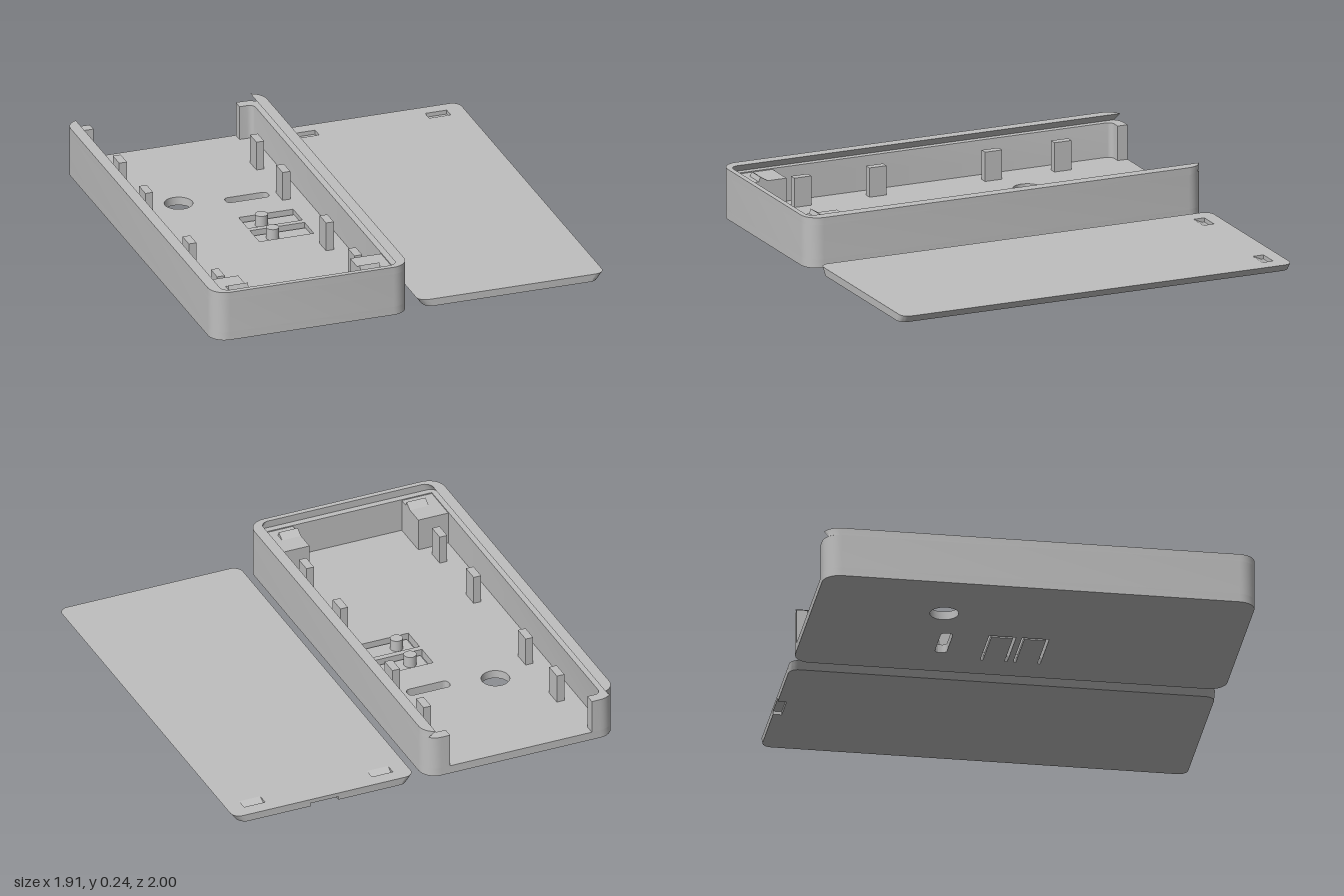
import * as THREE from 'three';
import { toCreasedNormals } from 'three/addons/utils/BufferGeometryUtils.js';

const V = (x, z) => new THREE.Vector2(x, z);

// Points along an arc in the (x, z) plane
function arc(cx, cz, r, a0, a1, n = 8) {
  return Array.from({ length: n + 1 }, (_, i) => {
    const a = a0 + (a1 - a0) * i / n;
    return V(cx + r * Math.cos(a), cz + r * Math.sin(a));
  });
}

const H = Math.PI / 2;

function roundedRect(x0, x1, z0, z1, r) {
  return [
    ...arc(x1 - r, z0 + r, r, -H, 0), ...arc(x1 - r, z1 - r, r, 0, H),
    ...arc(x0 + r, z1 - r, r, H, 2 * H), ...arc(x0 + r, z0 + r, r, 2 * H, 3 * H),
  ];
}

const rect = (x0, x1, z0, z1) => [V(x0, z0), V(x1, z0), V(x1, z1), V(x0, z1)];

// Solid between two matching counter-clockwise outlines, with vertical holes
function loft(bottom, top, y0, y1, holes = []) {
  const cut = holes.map((h) => (THREE.ShapeUtils.isClockWise(h) ? h : h.slice().reverse()));
  const lower = [...bottom, ...cut.flat()], upper = [...top, ...cut.flat()];
  const pos = [];
  const put = (p, y) => pos.push(p.x, y, p.y);
  for (const face of THREE.ShapeUtils.triangulateShape(bottom.slice(), cut.map((h) => h.slice()))) {
    const ccw = THREE.ShapeUtils.isClockWise(face.map((i) => lower[i])) ? face.slice().reverse() : face;
    ccw.forEach((i) => put(lower[i], y0));
    ccw.slice().reverse().forEach((i) => put(upper[i], y1));
  }
  const walls = (lo, hi) => lo.forEach((a, i) => {
    const j = (i + 1) % lo.length;
    put(a, y0); put(hi[i], y1); put(hi[j], y1);
    put(a, y0); put(hi[j], y1); put(lo[j], y0);
  });
  walls(bottom, top);
  cut.forEach((h) => walls(h, h));
  const g = new THREE.BufferGeometry();
  g.setAttribute('position', new THREE.Float32BufferAttribute(pos, 3));
  return toCreasedNormals(g, 0.5);
}

// Prism with a (z, y) profile running along x
function prism(points, x0, x1) {
  const g = new THREE.ExtrudeGeometry(new THREE.Shape(points.map((p) => V(...p))),
    { depth: x1 - x0, bevelEnabled: false });
  return g.rotateY(-H).translate(x1, 0, 0);
}

function block(x0, x1, y0, y1, z0, z1) {
  return new THREE.BoxGeometry(x1 - x0, y1 - y0, z1 - z0)
    .translate((x0 + x1) / 2, (y0 + y1) / 2, (z0 + z1) / 2);
}

export function createModel() {
  const material = new THREE.MeshStandardMaterial({ color: 0xbfbfbf });
  material.name = 'grey plastic';
  const model = new THREE.Group();
  const tray = new THREE.Group();
  tray.name = 'tray';
  tray.position.x = -0.4825;
  const lid = new THREE.Group();
  lid.name = 'slidingLid';
  lid.position.x = 0.5025;
  model.add(tray, lid);
  const add = (parent, name, geometry) => {
    const m = new THREE.Mesh(geometry, material);
    m.name = name;
    parent.add(m);
  };

  const W = 0.4775, R = 0.08, FLOOR = 0.04, LEDGE = 0.205, TOP = 0.24;

  // Floor with a round hole, a slot and two button openings
  const outline = roundedRect(-W, W, -1, 1, R);
  const buttons = [-0.0925, 0.06];
  add(tray, 'floor', loft(outline, outline, 0, FLOOR, [
    arc(-0.1425, -0.395, 0.066, 0, 4 * H * 31 / 32, 31),
    roundedRect(0.0675, 0.2775, -0.375, -0.32, 0.022),
    ...buttons.map((z) => rect(0.0625, 0.3275, z - 0.0625, z + 0.0625)),
  ]));

  // Flexible buttons with pegs
  for (const z of buttons) {
    add(tray, 'buttonTongue', block(0.0765, 0.3275, 0, 0.018, z - 0.05, z + 0.05));
    add(tray, 'buttonPeg', new THREE.CylinderGeometry(0.03, 0.03, 0.054, 24).translate(0.15, 0.045, z));
  }

  // Outer wall path, from the right back corner round the front to the left
  const outerWall = (a) => [
    ...arc(W - R, -1 + R, R, a, 0), ...arc(W - R, 1 - R, R, 0, H),
    ...arc(-W + R, 1 - R, R, H, 2 * H), ...arc(-W + R, -1 + R, R, 2 * H, 2 * H - a),
  ];

  // Walls, open at the back between two corner returns
  const c = 0.4225, r = 0.03;
  const wall = [
    V(0.355, -1), ...outerWall(-H), V(-0.355, -1), V(-0.355, -0.95),
    ...arc(-c + r, -0.95 + r, r, 3 * H, 2 * H, 5),
    V(-c, 0.945), V(c, 0.945),
    ...arc(c - r, -0.95 + r, r, 0, -H, 5), V(0.355, -0.95),
  ];
  add(tray, 'walls', loft(wall, wall, FLOOR, LEDGE));

  // Undercut rim that guides the lid
  const rim = (w) => [
    ...outerWall(-Math.acos((w - W + R) / R)),
    ...arc(-w + 0.04, 0.935, 0.04, 2 * H, H), ...arc(w - 0.04, 0.935, 0.04, H, 0),
  ];
  add(tray, 'guideRim', loft(rim(0.4525), rim(0.425), LEDGE, TOP));

  // Ribs, front corner posts and catches, mirrored left and right
  const pair = (x0, x1) => [[x0, x1], [-x1, -x0]];
  for (const [x0, x1] of pair(0.315, 0.3525)) {
    for (const z of [-0.655, -0.305, 0.278, 0.658]) {
      add(tray, 'rib', block(x0, x1, FLOOR, 0.18, z - 0.043, z + 0.043));
    }
  }
  for (const [x0, x1] of pair(0.2725, c)) {
    add(tray, 'cornerPost', block(x0, x1, FLOOR, 0.2, 0.76, 0.945));
  }
  for (const [x0, x1] of pair(0.2725, 0.3675)) {
    add(tray, 'catch', prism([[0.855, 0.2], [0.9, 0.2], [0.892, 0.222]], x0, x1));
  }

  // Lid: bevelled sides, thumb notch below, two catch recesses above
  const lidOutline = (w) => roundedRect(-w, w, -1, 0.97, 0.045);
  const notch = [V(-0.07, -1), V(-0.07, -0.96), V(0.07, -0.96), V(0.07, -1)];
  const MID = 0.016, THICK = 0.036;
  add(lid, 'lidOuterLayer', loft([...lidOutline(0.4245), ...notch], [...lidOutline(0.437), ...notch], 0, MID));
  const recesses = pair(0.2675, 0.3725);
  add(lid, 'lidInnerLayer', loft(lidOutline(0.437), lidOutline(0.4525), MID, THICK,
    recesses.map(([x0, x1]) => rect(x0, x1, -0.935, -0.88))));
  for (const [x0, x1] of recesses) {
    add(lid, 'recessRamp', prism([[-0.925, MID], [-0.88, MID], [-0.88, THICK]], x0, x1));
  }
  return model;
}
